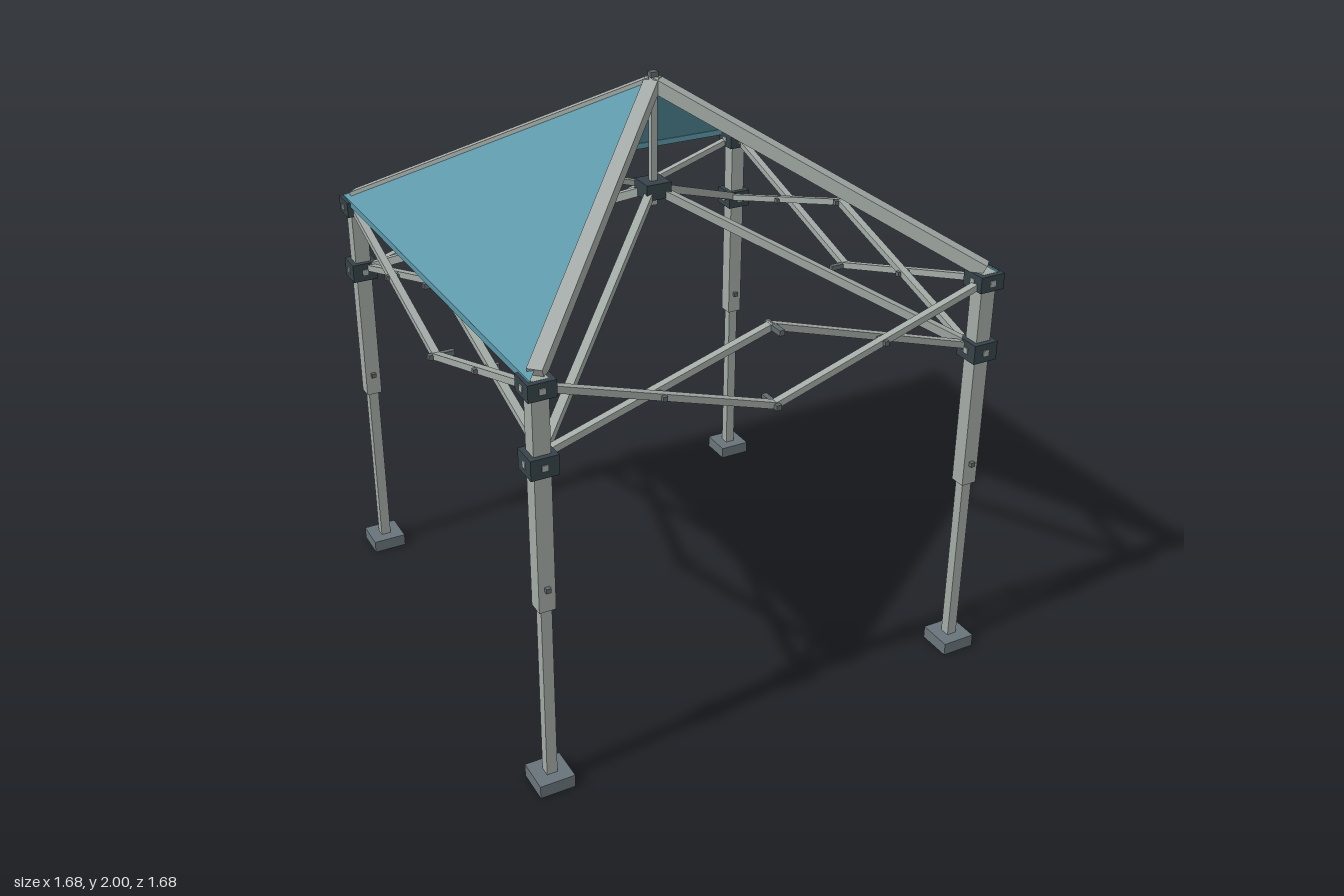
import * as THREE from 'three';

const mat = (name, color) => {
  const m = new THREE.MeshStandardMaterial({ color });
  m.name = name;
  return m;
};

export function createModel() {
  const root = new THREE.Group();
  root.name = 'canopyTent';
  const metal = mat('frame grey', 0xa3aba7);
  const dark = mat('bracket charcoal', 0x364349);
  const rubber = mat('foot grey', 0x68747a);
  const pinMat = mat('pin grey', 0x626b6c);
  const cloth = mat('canopy teal', 0x5c97a8);
  cloth.side = THREE.DoubleSide;

  const box = (parent, name, material, size, pos) => {
    const m = new THREE.Mesh(new THREE.BoxGeometry(...size), material);
    m.name = name;
    m.position.set(...pos);
    parent.add(m);
    return m;
  };
  // Square tube between two points, its width kept horizontal
  const bar = (parent, name, a, b, w, h) => {
    const p = new THREE.Vector3(...a), q = new THREE.Vector3(...b);
    const m = new THREE.Mesh(new THREE.BoxGeometry(w, h, p.distanceTo(q)), metal);
    m.name = name;
    m.position.copy(p).add(q).multiplyScalar(0.5);
    m.lookAt(q);
    parent.add(m);
  };

  const L = 0.78; // leg distance from centre
  for (const sx of [-1, 1]) for (const sz of [-1, 1]) {
    const x = sx * L, z = sz * L;
    // Telescopic leg with foot
    const leg = new THREE.Group();
    leg.name = 'leg';
    root.add(leg);
    box(leg, 'foot', rubber, [0.12, 0.045, 0.12], [x, 0.0225, z]);
    box(leg, 'lowerLeg', metal, [0.036, 0.68, 0.036], [x, 0.38, z]);
    box(leg, 'legSleeve', metal, [0.055, 0.775, 0.055], [x, 1.0575, z]);
    box(leg, 'heightPin', pinMat, [0.016, 0.016, 0.082], [x, 0.75, z]);
    // Corner brackets with bolts showing on every face
    for (const [y, h] of [[1.417, 0.055], [1.172, 0.066]]) {
      box(leg, 'bracket', dark, [0.09, h, 0.09], [x, y, z]);
      box(leg, 'boltAcross', metal, [0.096, 0.02, 0.02], [x, y, z]);
      box(leg, 'boltThrough', metal, [0.02, 0.02, 0.096], [x, y, z]);
    }
    // Roof pole and the strut that holds up the hub
    bar(root, 'roofPole', [x, 1.449, z], [0, 1.964, 0], 0.048, 0.045);
    bar(root, 'hubStrut', [x, 1.17, z], [0, 1.605, 0], 0.028, 0.028);
  }

  // Scissor truss on each of the four sides
  for (let i = 0; i < 4; i++) {
    const truss = new THREE.Group();
    truss.name = 'scissorTruss';
    truss.rotation.y = i * Math.PI / 2;
    root.add(truss);
    for (const s of [-1, 1]) {
      bar(truss, 'fallingBar', [s * L, 1.417, 0.792], [0, 1.165, 0.792], 0.026, 0.022);
      bar(truss, 'risingBar', [s * L, 1.172, 0.757], [0, 1.417, 0.757], 0.026, 0.022);
      box(truss, 'crossPin', pinMat, [0.016, 0.016, 0.085], [s * 0.39, 1.291, 0.775]);
    }
    for (const y of [1.165, 1.417])
      box(truss, 'middlePin', pinMat, [0.018, 0.018, 0.09], [0, y, 0.775]);
  }

  // Centre post, hub and top cap
  box(root, 'centrePost', metal, [0.022, 0.42, 0.022], [0, 1.755, 0]);
  box(root, 'centreHub', dark, [0.09, 0.055, 0.09], [0, 1.603, 0]);
  box(root, 'topCap', pinMat, [0.026, 0.03, 0.026], [0, 1.985, 0]);

  // Cloth panels on the right, back and left; the front stays open
  const E = 0.81, eaveY = 1.45, topY = 1.985;
  for (const [name, turn, t] of [['rightPanel', 1, 0], ['backPanel', 2, 0.05], ['leftPanel', 3, 0]]) {
    const panel = new THREE.Group();
    panel.name = name;
    panel.rotation.y = turn * Math.PI / 2;
    root.add(panel);
    const y = topY - (topY - eaveY) * t / E;
    const g = new THREE.BufferGeometry();
    g.setAttribute('position', new THREE.Float32BufferAttribute(
      [-E, eaveY, E, E, eaveY, E, t, y, t, -t, y, t], 3));
    g.setIndex(t ? [0, 1, 2, 0, 2, 3] : [0, 1, 2]);
    g.computeVertexNormals();
    const sheet = new THREE.Mesh(g, cloth);
    sheet.name = 'roofCloth';
    panel.add(sheet);
    box(panel, 'hem', cloth, [2 * E, 0.022, 0.006], [0, 1.439, E]);
  }
  return root;
}
